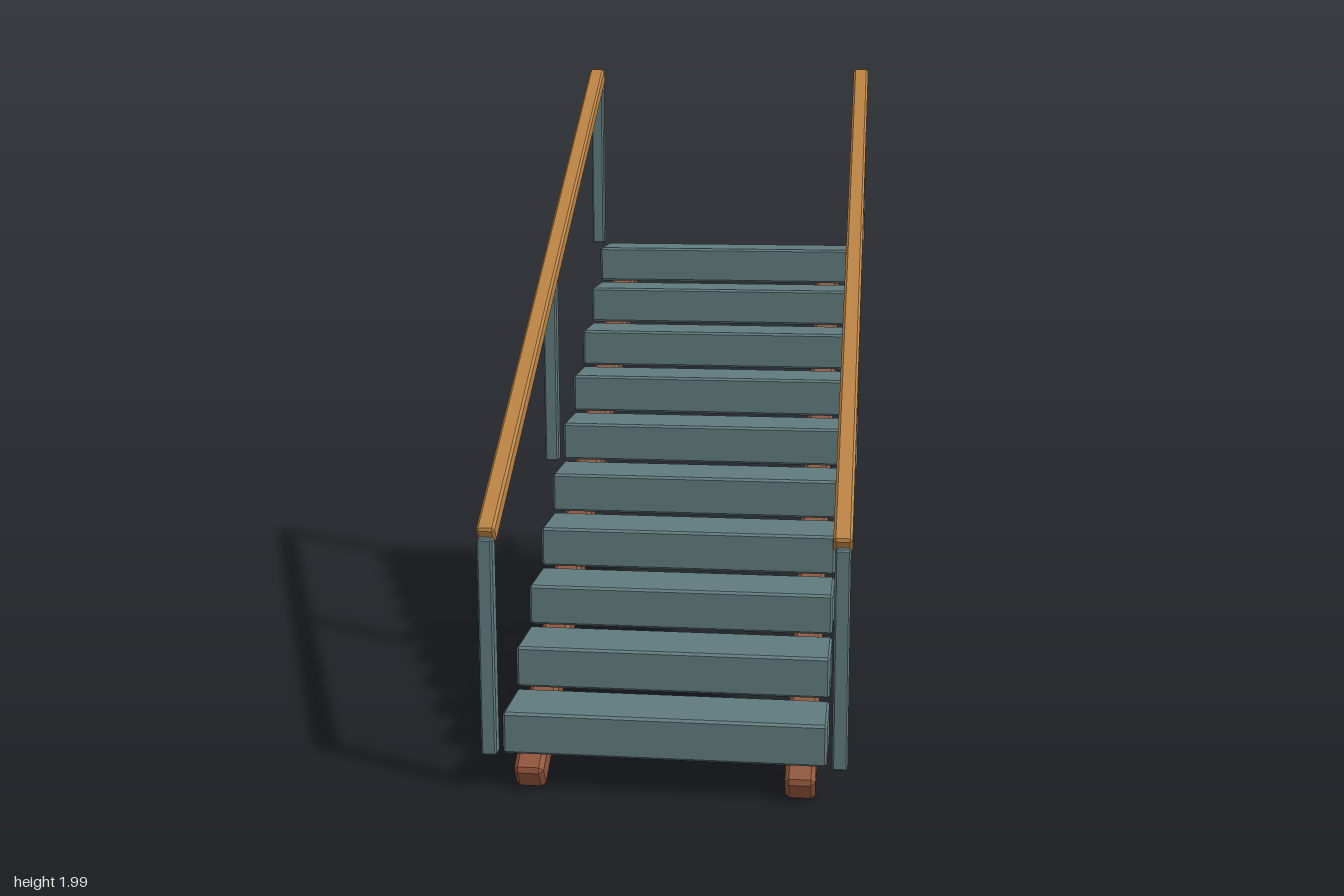
import * as THREE from 'three';
import { ConvexGeometry } from 'three/addons/geometries/ConvexGeometry.js';

const slate = new THREE.MeshStandardMaterial({ color: 0x607a7d });
const oak = new THREE.MeshStandardMaterial({ color: 0xbd8443 });
const redwood = new THREE.MeshStandardMaterial({ color: 0x91553a });

// Box with flat chamfers on every edge
function chamferBox(w, h, d, c) {
  const points = [];
  for (const x of [-w / 2, w / 2]) {
    for (const y of [-h / 2, h / 2]) {
      for (const z of [-d / 2, d / 2]) {
        const ix = x - Math.sign(x) * c, iy = y - Math.sign(y) * c, iz = z - Math.sign(z) * c;
        points.push(
          new THREE.Vector3(x, iy, iz),
          new THREE.Vector3(ix, y, iz),
          new THREE.Vector3(ix, iy, z));
      }
    }
  }
  return new ConvexGeometry(points);
}

function addMesh(group, name, geometry, material, x, y, z) {
  const mesh = new THREE.Mesh(geometry, material);
  mesh.name = name;
  mesh.position.set(x, y, z);
  group.add(mesh);
  return mesh;
}

// Sloping beam in the yz plane between two end centres
function addBeam(group, name, material, x, [z0, y0], [z1, y1], size, chamfer) {
  const length = Math.hypot(z1 - z0, y1 - y0);
  const beam = addMesh(group, name, chamferBox(size, size, length, chamfer), material,
    x, (y0 + y1) / 2, (z0 + z1) / 2);
  beam.rotation.x = Math.atan2(y1 - y0, z0 - z1);
}

export function createModel() {
  const model = new THREE.Group();
  model.name = 'staircase';

  // Treads
  const steps = 10, going = 0.1874, rise = 0.125;
  const treadGeometry = chamferBox(0.9, 0.12, 0.19, 0.007);
  for (let i = 0; i < steps; i++) {
    addMesh(model, `tread${i + 1}`, treadGeometry, slate,
      0, 0.174 + i * rise, (4.5 - i) * going);
  }

  const postGeometry = chamferBox(0.043, 0.62, 0.043, 0.005);
  for (const [side, s] of [['left', 1], ['right', -1]]) {
    // Stringer under the treads
    addBeam(model, `${side}Stringer`, redwood, s * 0.377, [0.934, 0.039], [-0.934, 1.273], 0.084, 0.012);

    // Posts and handrail
    for (let i = 0; i < 3; i++) {
      addMesh(model, `${side}Post${i + 1}`, postGeometry, slate,
        s * 0.485, 0.425 + i * 0.6225, (1 - i) * 0.937);
    }
    addBeam(model, `${side}Handrail`, oak, s * 0.484, [0.937, 0.738], [-0.937, 1.981], 0.052, 0.007);
  }
  return model;
}
